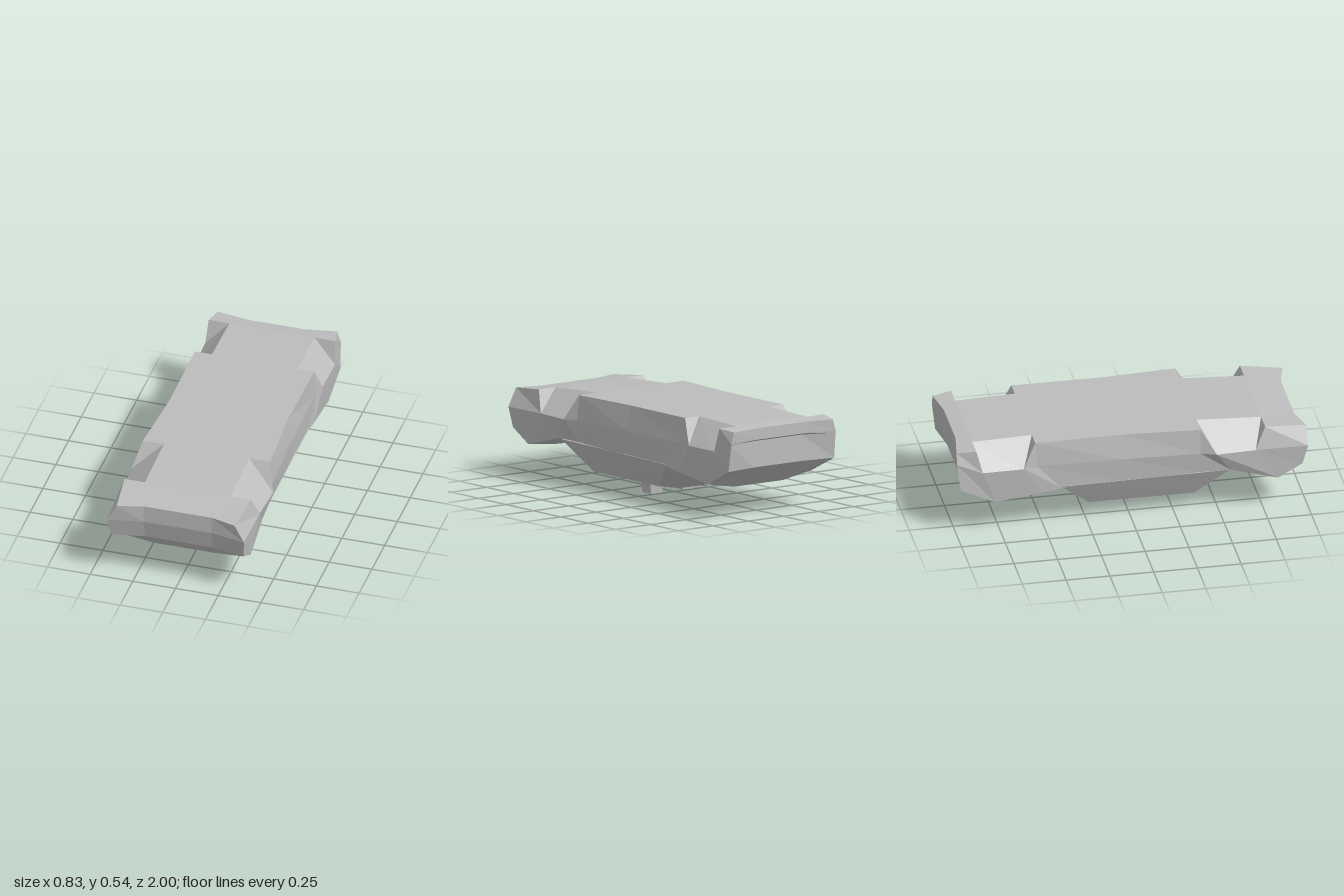
import * as THREE from 'three';
import { ConvexGeometry } from 'three/addons/geometries/ConvexGeometry.js';

const grey = new THREE.MeshStandardMaterial({ color: 0xbcbcbc, flatShading: true });
grey.name = 'plain grey';

const mirror = ([x, y, z]) => [-x, y, z];

// Collects faces given as corners in counter-clockwise order
function faceBuilder() {
  const pos = [];
  const area = (a, b, c) => new THREE.Triangle(
    new THREE.Vector3(...a), new THREE.Vector3(...b), new THREE.Vector3(...c)).getArea();
  const face = (...p) => {
    for (let i = 1; i + 1 < p.length; i++) {
      if (area(p[0], p[i], p[i + 1]) > 1e-7) pos.push(...p[0], ...p[i], ...p[i + 1]);
    }
  };
  const both = (...p) => {
    face(...p);
    face(...p.map(mirror).reverse());
  };
  const geometry = () => {
    const g = new THREE.BufferGeometry();
    g.setAttribute('position', new THREE.Float32BufferAttribute(pos, 3));
    g.computeVertexNormals();
    return g;
  };
  return { face, both, geometry };
}

function add(group, name, geometry) {
  const mesh = new THREE.Mesh(geometry, grey);
  mesh.name = name;
  group.add(mesh);
  return mesh;
}

// Half sections from front to back: floor, floor edge, waist, lower edge, lower middle
const sections = [
  [[0.2, 0.49, 0.96], [0.345, 0.49, 1], [0.4, 0.387, 1], [0.39, 0.272, 0.97], [0.2, 0.27, 0.93]],
  [[0.25, 0.515, 0.76], [0.37, 0.515, 0.76], [0.403, 0.39, 0.7], [0.39, 0.195, 0.83], [0.17, 0.172, 0.84]],
  [[0.25, 0.535, 0.39], [0.372, 0.535, 0.39], [0.415, 0.39, 0.475], [0.38, 0.268, 0.56], [0.17, 0.25, 0.6]],
  [[0.25, 0.535, 0.39], [0.372, 0.535, 0.39], [0.385, 0.39, 0.39], [0.37, 0.265, 0.39], [0.17, 0.25, 0.39]],
  [[0.25, 0.535, -0.05], [0.345, 0.535, -0.05], [0.368, 0.39, -0.05], [0.36, 0.248, -0.05], [0.17, 0.24, -0.05]],
  [[0.25, 0.535, -0.55], [0.35, 0.535, -0.55], [0.36, 0.39, -0.54], [0.36, 0.238, -0.4], [0.17, 0.235, -0.4]],
  [[0.25, 0.535, -0.55], [0.35, 0.535, -0.55], [0.377, 0.39, -0.62], [0.365, 0.225, -0.5], [0.17, 0.225, -0.5]],
  [[0.25, 0.525, -0.89], [0.37, 0.525, -0.89], [0.38, 0.39, -0.855], [0.365, 0.19, -0.78], [0.17, 0.155, -0.77]],
  [[0.17, 0.515, -0.97], [0.35, 0.515, -1], [0.37, 0.45, -1], [0.375, 0.29, -0.98], [0.17, 0.29, -0.95]],
];

// Shell lofted through the sections, with four wheel wells cut from its corners
function shellGeometry() {
  const { face, both, geometry } = faceBuilder();
  const rings = sections.map(s => [...s, ...s.map(mirror).reverse()]);
  const wellStarts = [1, 6];
  for (let i = 0; i + 1 < rings.length; i++) {
    const a = rings[i], b = rings[i + 1];
    const well = wellStarts.includes(i);
    for (let k = 0; k < 10; k++) {
      const n = (k + 1) % 10;
      if (well && [0, 1, 7, 8].includes(k)) continue;
      face(a[k], a[n], b[n], b[k]);
    }
    if (well) {
      both(a[0], a[2], b[2], b[0]);
      both(a[0], a[1], a[2]);
      both(b[0], b[2], b[1]);
    }
  }

  // End faces: rows of [outer, inner] points from top to bottom
  const endFace = (rows, front) => {
    const full = rows.map(([o, i]) => [mirror(o), mirror(i), i, o]);
    for (let r = 0; r + 1 < full.length; r++) {
      for (let j = 0; j < 3; j++) {
        const q = [full[r][j], full[r + 1][j], full[r + 1][j + 1], full[r][j + 1]];
        face(...(front ? q : q.reverse()));
      }
    }
  };
  const f = sections[0], e = sections[8];
  endFace([[f[1], f[0]], [f[2], [0.2, 0.387, 0.96]], [f[3], f[4]]], true);
  endFace([[e[1], e[0]], [e[2], [0.17, 0.45, -0.97]],
    [[0.371, 0.435, -0.998], [0.17, 0.44, -0.95]], [e[3], e[4]]], false);
  return geometry();
}

// Tapered cabin hanging under the shell
function cabinGeometry() {
  const half = [
    [0.165, 0.075, 0.395], [0.285, 0.093, 0.37], [0.285, 0.093, -0.23], [0.165, 0.075, -0.265],
    [0.17, 0.26, 0.645], [0.365, 0.26, 0.56], [0.365, 0.25, -0.4], [0.17, 0.235, -0.49],
  ];
  return new ConvexGeometry([...half, ...half.map(mirror)].map(p => new THREE.Vector3(...p)));
}

// Square peg, narrower at the foot
function pegGeometry() {
  const g = new THREE.BoxGeometry(0.104, 0.09, 0.096);
  const p = g.attributes.position;
  for (let i = 0; i < p.count; i++) {
    if (p.getY(i) < 0) {
      p.setX(i, p.getX(i) * 0.73);
      p.setZ(i, p.getZ(i) * 0.8);
    }
  }
  g.computeVertexNormals();
  return g;
}

export function createModel() {
  const group = new THREE.Group();
  group.name = 'upturned car body';
  add(group, 'shell', shellGeometry());
  add(group, 'cabin', cabinGeometry());
  for (const [side, name] of [[1, 'leftPeg'], [-1, 'rightPeg']]) {
    add(group, name, pegGeometry()).position.set(side * 0.113, 0.045, 0.055);
  }
  return group;
}
